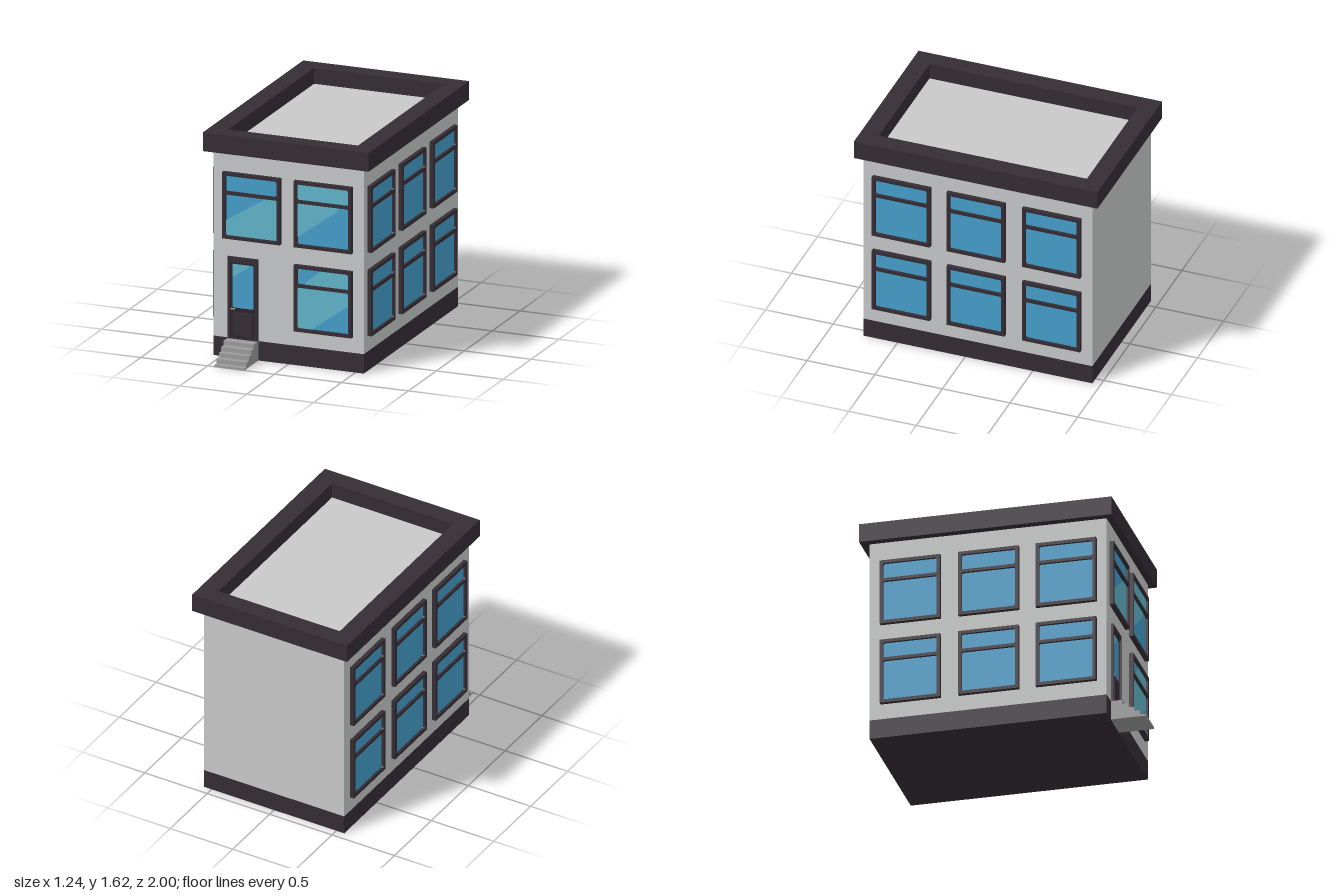
import * as THREE from 'three';

const mat = (name, color, side = THREE.FrontSide) => {
  const m = new THREE.MeshStandardMaterial({ color, side });
  m.name = name;
  return m;
};

export function createModel() {
  const wall = mat('wall grey', 0xc8c9ca);
  const trim = mat('dark trim', 0x352d35);
  const doorDark = mat('door dark', 0x2c252c);
  const stone = mat('step grey', 0x9c9c9c);
  const blue = mat('blue glass', 0x469fcc, THREE.DoubleSide);
  const teal = mat('teal glint', 0x62b5cb, THREE.DoubleSide);

  const model = new THREE.Group();
  model.name = 'townHouse';

  const add = (parent, name, geo, material, x = 0, y = 0, z = 0) => {
    const m = new THREE.Mesh(geo, material);
    m.name = name;
    m.position.set(x, y, z);
    parent.add(m);
    return m;
  };
  // box given by its limits
  const box = (parent, name, material, x0, x1, y0, y1, z0, z1) =>
    add(parent, name, new THREE.BoxGeometry(x1 - x0, y1 - y0, z1 - z0), material,
      (x0 + x1) / 2, (y0 + y1) / 2, (z0 + z1) / 2);
  const poly = (pts) => new THREE.Shape(pts.map(([x, y]) => new THREE.Vector2(x, y)));
  // rectangle, optionally with clipped corners
  const rect = (x0, x1, y0, y1, c = 0) => poly(c
    ? [[x0 + c, y0], [x1 - c, y0], [x1, y0 + c], [x1, y1 - c], [x1 - c, y1], [x0 + c, y1], [x0, y1 - c], [x0, y0 + c]]
    : [[x0, y0], [x1, y0], [x1, y1], [x0, y1]]);
  const frame = (outer, holes, depth) => {
    outer.holes = holes;
    return new THREE.ExtrudeGeometry(outer, { depth, bevelEnabled: false });
  };

  // Walls and plinth
  const X = 0.5625, ZF = 0.75, ZB = -0.94;
  box(model, 'plinth', trim, -X, X, 0, 0.14, ZB, ZF);
  box(model, 'walls', wall, -X, X, 0.14, 1.5, ZB, ZF);

  // Parapet ring around the sunken flat roof
  const ring = frame(rect(-0.62, 0.62, -0.8, 1), [rect(-0.485, 0.485, -0.667, 0.87)], 0.135);
  add(model, 'parapet', ring, trim, 0, 1.48, 0).rotation.x = -Math.PI / 2;

  // Window: frame with two openings; glints are polygons in window coordinates
  const W = 0.43, H = 0.48, B = 0.024;
  const LOW = [B, W - B, B, 0.32], UP = [B, W - B, 0.343, H - B];
  const frameGeo = frame(rect(0, W, 0, H), [rect(...LOW, 0.008), rect(...UP, 0.008)], 0.03);
  const glassGeo = new THREE.ShapeGeometry(rect(0.01, W - 0.01, 0.01, H - 0.01));
  const addWindow = (parent, x, y, glints = []) => {
    const g = new THREE.Group();
    g.name = 'window';
    g.position.set(x, y, 0);
    add(g, 'windowFrame', frameGeo, trim);
    add(g, 'windowGlass', glassGeo, blue, 0, 0, 0.012);
    for (const pts of glints) add(g, 'glassGlint', new THREE.ShapeGeometry(poly(pts)), teal, 0, 0, 0.015);
    parent.add(g);
  };

  // Front windows with diagonal glints (edges tuck behind the frame)
  const front = new THREE.Group();
  front.name = 'frontFacade';
  front.position.z = ZF;
  model.add(front);
  const l = 0.012, r = W - l, b = 0.012, t = H - l, m = 0.33;
  addWindow(front, -0.484, 0.86, [
    [[l, b], [r, b], [r, m], [0.325, m], [0.305, 0.308], [l, 0.122]],
  ]);
  addWindow(front, 0.051, 0.86, [
    [[l, m], [l, t], [r, t], [r, m]],
    [[l, 0.065], [0.315, 0.285], [0.335, m], [l, m]],
  ]);
  addWindow(front, 0.051, 0.252, [
    [[0.06, m], [0.09, 0.365], [0.18, 0.44], [0.19, t], [r, t], [r, m]],
    [[l, b], [0.13, b], [0.16, 0.05], [r, 0.235], [r, m], [l, m]],
  ]);

  // Three windows on each of two floors, both sides
  for (const s of [1, -1]) {
    const side = new THREE.Group();
    side.name = s > 0 ? 'leftFacade' : 'rightFacade';
    side.position.x = s * X;
    side.rotation.y = s * Math.PI / 2;
    model.add(side);
    for (const z of [0.465, -0.087, -0.645])
      for (const y of [0.252, 0.855]) addWindow(side, -s * z - W / 2, y);
  }

  // Door
  const door = new THREE.Group();
  door.name = 'door';
  door.position.z = ZF;
  model.add(door);
  add(door, 'doorFrame', frame(rect(-0.45, -0.225, 0.14, 0.73), [rect(-0.43, -0.245, 0.15, 0.692)], 0.018), trim);
  add(door, 'doorLeaf', frame(rect(-0.43, -0.245, 0.15, 0.692), [rect(-0.417, -0.258, 0.362, 0.68, 0.008)], 0.01), doorDark);
  add(door, 'doorGlass', new THREE.ShapeGeometry(rect(-0.42, -0.255, 0.36, 0.682)), blue, 0, 0, 0.004);
  add(door, 'doorGlint', new THREE.ShapeGeometry(
    poly([[-0.42, 0.578], [-0.3, 0.66], [-0.285, 0.682], [-0.42, 0.682]])), teal, 0, 0, 0.006);
  box(door, 'doorPanel', trim, -0.41, -0.265, 0.165, 0.335, 0.005, 0.015);
  box(door, 'doorHandle', stone, -0.424, -0.395, 0.352, 0.36, 0.01, 0.022);

  // Front steps, one stepped profile swept across the width
  const profile = [[ZF, 0], [1, 0]];
  [1, 0.96, 0.918, 0.877, 0.835].forEach((z, i, a) => {
    const y = 0.014 + i * 0.0315;
    profile.push([z, y], [a[i + 1] ?? ZF, y]);
  });
  const steps = new THREE.ExtrudeGeometry(poly(profile), { depth: 0.225, bevelEnabled: false });
  add(model, 'frontSteps', steps, stone, -0.225, 0, 0).rotation.y = -Math.PI / 2;

  return model;
}
